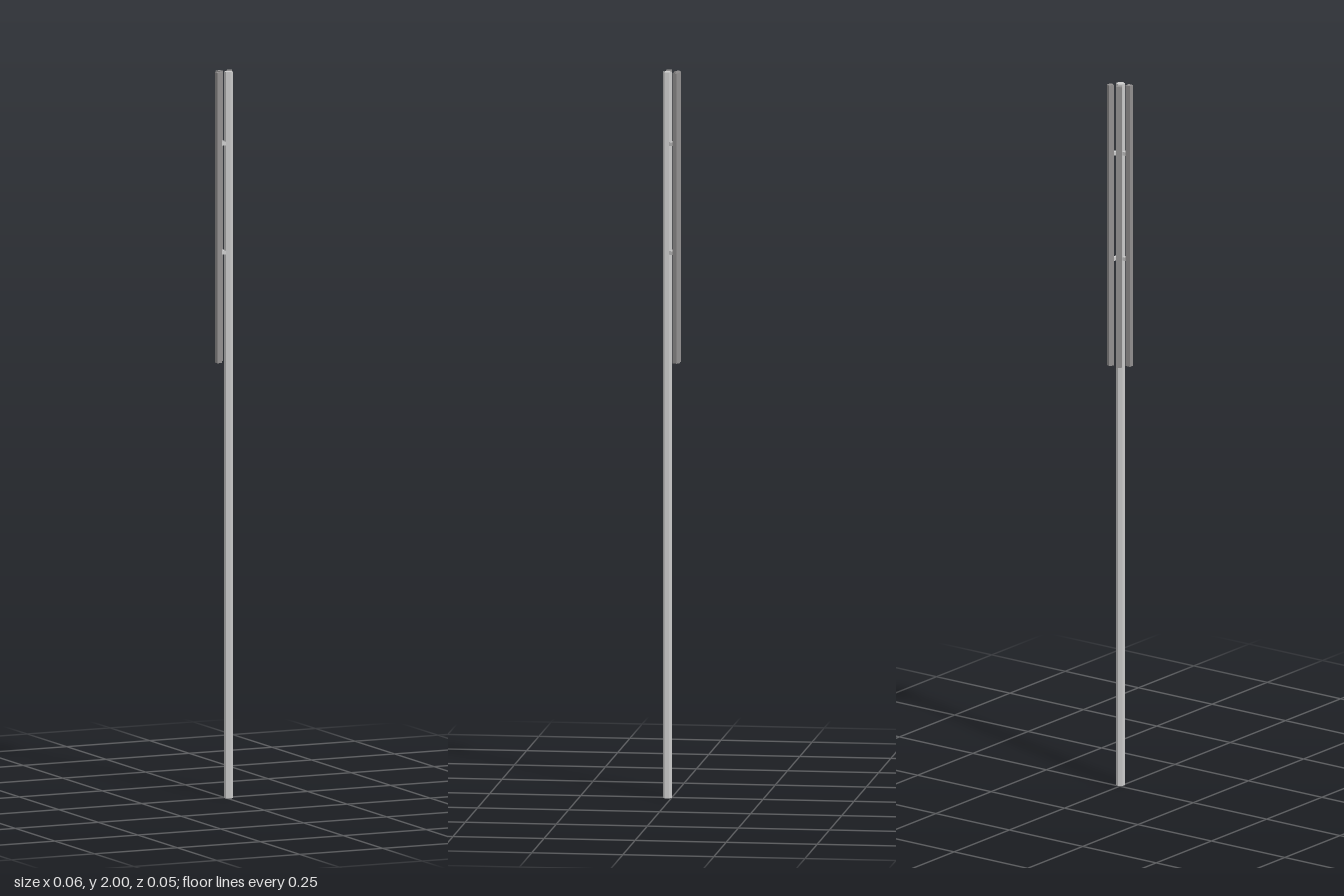
import * as THREE from 'three';

export function createModel() {
  const model = new THREE.Group();
  model.name = 'antennaMast';
  const grey = new THREE.MeshStandardMaterial({ color: 0xcccccc, flatShading: true });
  const dark = new THREE.MeshStandardMaterial({ color: 0x929090, flatShading: true });

  const add = (parent, name, geometry, material, x, y, z) => {
    const mesh = new THREE.Mesh(geometry, material);
    mesh.name = name;
    mesh.position.set(x, y, z);
    parent.add(mesh);
  };

  // Mast axis stands slightly off centre, as the panels sit to one side of it
  const mast = new THREE.Group();
  mast.name = 'mast';
  mast.position.set(0.006, 0, 0.0115);
  model.add(mast);

  // Six-sided pole
  add(mast, 'pole', new THREE.CylinderGeometry(0.0123, 0.0123, 2, 6), grey, 0, 1, 0);

  // Three tall panels spaced around the pole, each on two brackets
  const panelSize = 0.0145, reach = 0.03;
  const panelGeometry = new THREE.BoxGeometry(panelSize, 0.8, panelSize);
  const bracketGeometry = new THREE.BoxGeometry(reach, 0.01, 0.0125);
  [60, 120, 180].forEach((degrees) => {
    const arm = new THREE.Group();
    arm.name = 'panelArm';
    arm.rotation.y = THREE.MathUtils.degToRad(degrees);
    add(arm, 'panel', panelGeometry, dark, reach, 1.6, 0);
    for (const y of [1.503, 1.803]) add(arm, 'bracket', bracketGeometry, grey, reach / 2, y, 0);
    mast.add(arm);
  });

  return model;
}
